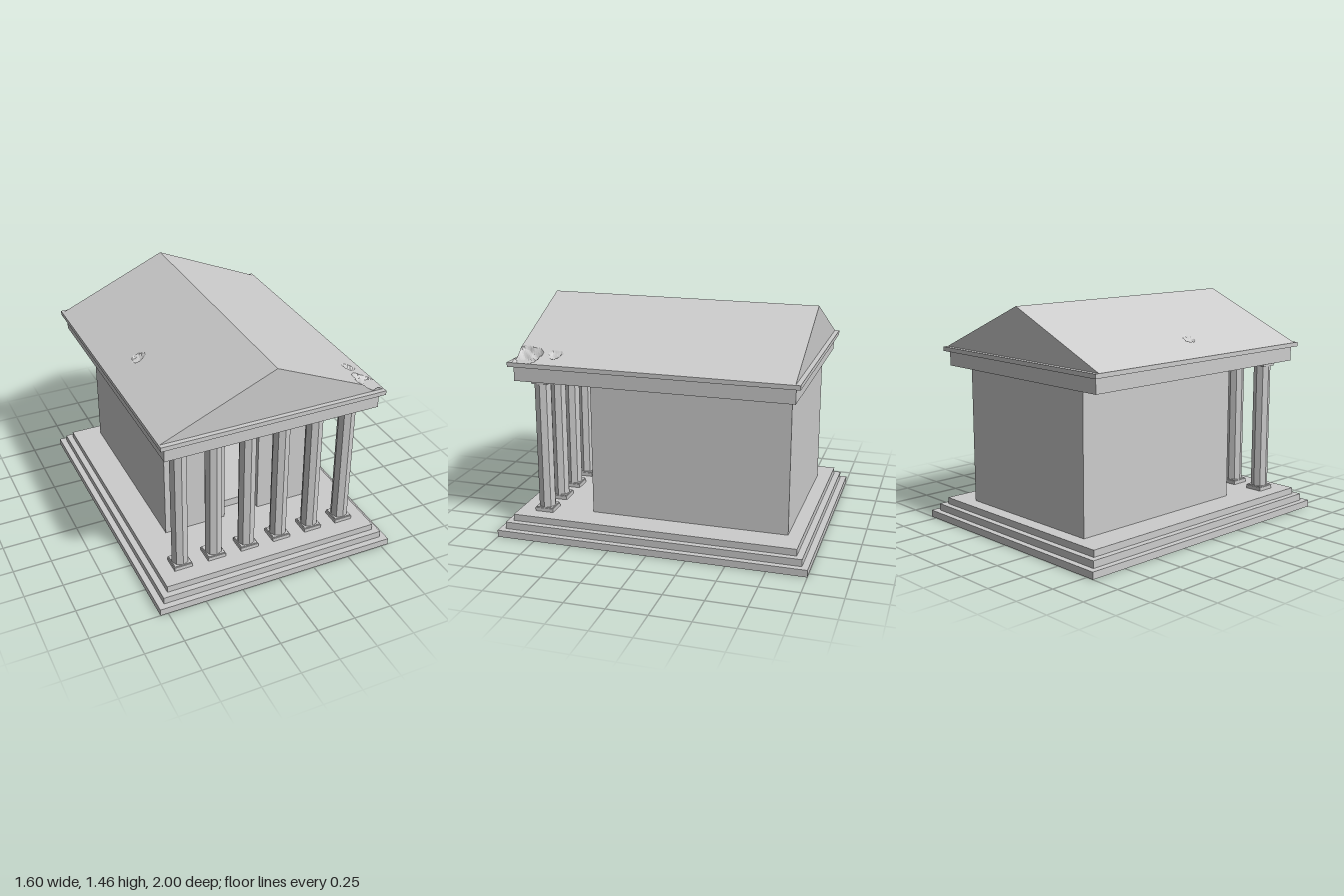
import * as THREE from 'three';

const stone = new THREE.MeshStandardMaterial({ color: 0xcccccc });
stone.name = 'stone';
stone.flatShading = true;

function add(parent, name, geometry, x = 0, y = 0, z = 0) {
  const mesh = new THREE.Mesh(geometry, stone);
  mesh.name = name;
  mesh.position.set(x, y, z);
  parent.add(mesh);
  return mesh;
}

// Box given by its full width and depth and its lower and upper height
function slab(parent, name, w, d, y0, y1, x = 0, z = 0) {
  return add(parent, name, new THREE.BoxGeometry(w, y1 - y0, d), x, (y0 + y1) / 2, z);
}

// Eight-sided column on a square plinth with a square capital
function column(x, z) {
  const g = new THREE.Group();
  g.name = 'column';
  g.position.set(x, 0, z);
  slab(g, 'plinth', 0.12, 0.12, 0.133, 0.157);
  slab(g, 'plinthTop', 0.11, 0.11, 0.157, 0.163);
  add(g, 'shaft', new THREE.CylinderGeometry(0.055, 0.055, 0.825, 8), 0, 0.5725, 0);
  slab(g, 'capitalNeck', 0.108, 0.108, 0.985, 1.0);
  slab(g, 'capital', 0.122, 0.122, 1.0, 1.02);
  return g;
}

// Hollow chamber with a doorway in the front wall
function chamber() {
  const g = new THREE.Group();
  g.name = 'chamber';
  const w = 0.535, t = 0.09, y0 = 0.133, y1 = 1.02, zf = 0.445, zb = -0.83;
  const door = 0.12, lintel = 0.725;
  const wall = new THREE.Shape([
    [-w, y0], [-door, y0], [-door, lintel], [door, lintel],
    [door, y0], [w, y0], [w, y1], [-w, y1],
  ].map(([x, y]) => new THREE.Vector2(x, y)));
  add(g, 'frontWall', new THREE.ExtrudeGeometry(wall, { depth: t, bevelEnabled: false }), 0, 0, zf - t);
  const len = zf - t - zb;
  for (const s of [-1, 1]) slab(g, 'sideWall', t, len, y0, y1, s * (w - t / 2), zb + len / 2);
  slab(g, 'backWall', 2 * (w - t), t, y0, y1, 0, zb + t / 2);
  slab(g, 'chamberFloor', 2 * (w - t), len - t, y0, 0.185, 0, zb + t + (len - t) / 2);
  return g;
}

// Broken spots in the roof: centre x, centre z, radius, depth
const chips = [[0.65, 0.81, 0.085, 0.045], [0.625, 0.63, 0.036, 0.018], [-0.53, 0.055, 0.036, 0.02]];
const HALF = 0.725, EAVE = 1.143, RIDGE = 1.457, END = 0.88;

function roofHeight(x, z) {
  let y = RIDGE - (RIDGE - EAVE) * Math.abs(x) / HALF;
  for (const [cx, cz, r, depth] of chips) {
    const a = Math.atan2(z - cz, x - cx);
    const edge = r * (1 + 0.12 * Math.sin(3 * a + 1) + 0.08 * Math.sin(5 * a));
    const q = Math.hypot(x - cx, z - cz) / edge;
    if (q < 1) y -= depth * Math.sqrt(1 - q * q) * (0.85 + 0.15 * Math.sin(90 * x + 70 * z));
  }
  return Math.max(y, EAVE);
}

// Stations along one axis, closely spaced within the given ranges
function stations(min, max, ranges) {
  const out = [min, 0, max];
  for (const [a, b] of ranges)
    for (let v = a; v < b; v += 0.012) if (v > min && v < max) out.push(v);
  return [...new Set(out)].sort((a, b) => a - b);
}

// Gable roof swept from cross-sections, with closed ends
function roof() {
  const xs = stations(-HALF, HALF, [[-0.59, -0.47], [0.54, 0.73]]);
  const zs = stations(-END, END, [[0.006, 0.11], [0.58, 0.9]]);
  const pos = [], index = [], n = xs.length;
  for (const z of zs) for (const x of xs) pos.push(x, roofHeight(x, z), z);
  for (let j = 0; j < zs.length - 1; j++)
    for (let i = 0; i < n - 1; i++) {
      const a = j * n + i, b = a + n;
      index.push(a, b, a + 1, a + 1, b, b + 1);
    }
  for (const s of [-1, 1]) {
    const start = pos.length / 3;
    for (const x of xs) pos.push(x, roofHeight(x, s * END), s * END, x, EAVE - 0.01, s * END);
    for (let i = 0; i < n - 1; i++) {
      const a = start + 2 * i;
      if (s > 0) index.push(a, a + 1, a + 2, a + 2, a + 1, a + 3);
      else index.push(a, a + 2, a + 1, a + 2, a + 3, a + 1);
    }
  }
  const indexed = new THREE.BufferGeometry();
  indexed.setAttribute('position', new THREE.Float32BufferAttribute(pos, 3));
  indexed.setIndex(index);
  const geometry = indexed.toNonIndexed();
  geometry.computeVertexNormals();
  return geometry;
}

export function createModel() {
  const temple = new THREE.Group();
  temple.name = 'temple';

  // Stepped base
  slab(temple, 'lowerStep', 1.6, 2.0, 0, 0.045);
  slab(temple, 'middleStep', 1.52, 1.92, 0.045, 0.09);
  slab(temple, 'upperStep', 1.44, 1.84, 0.09, 0.133);

  // Row of six columns across the porch
  for (let i = 0; i < 6; i++) temple.add(column((i - 2.5) * 0.226, 0.75));
  temple.add(chamber());

  // Beam, cornice and roof
  slab(temple, 'beam', 1.4, 1.76, 1.02, 1.115);
  slab(temple, 'cornice', 1.46, 1.82, 1.115, 1.143);
  add(temple, 'roof', roof());
  return temple;
}
